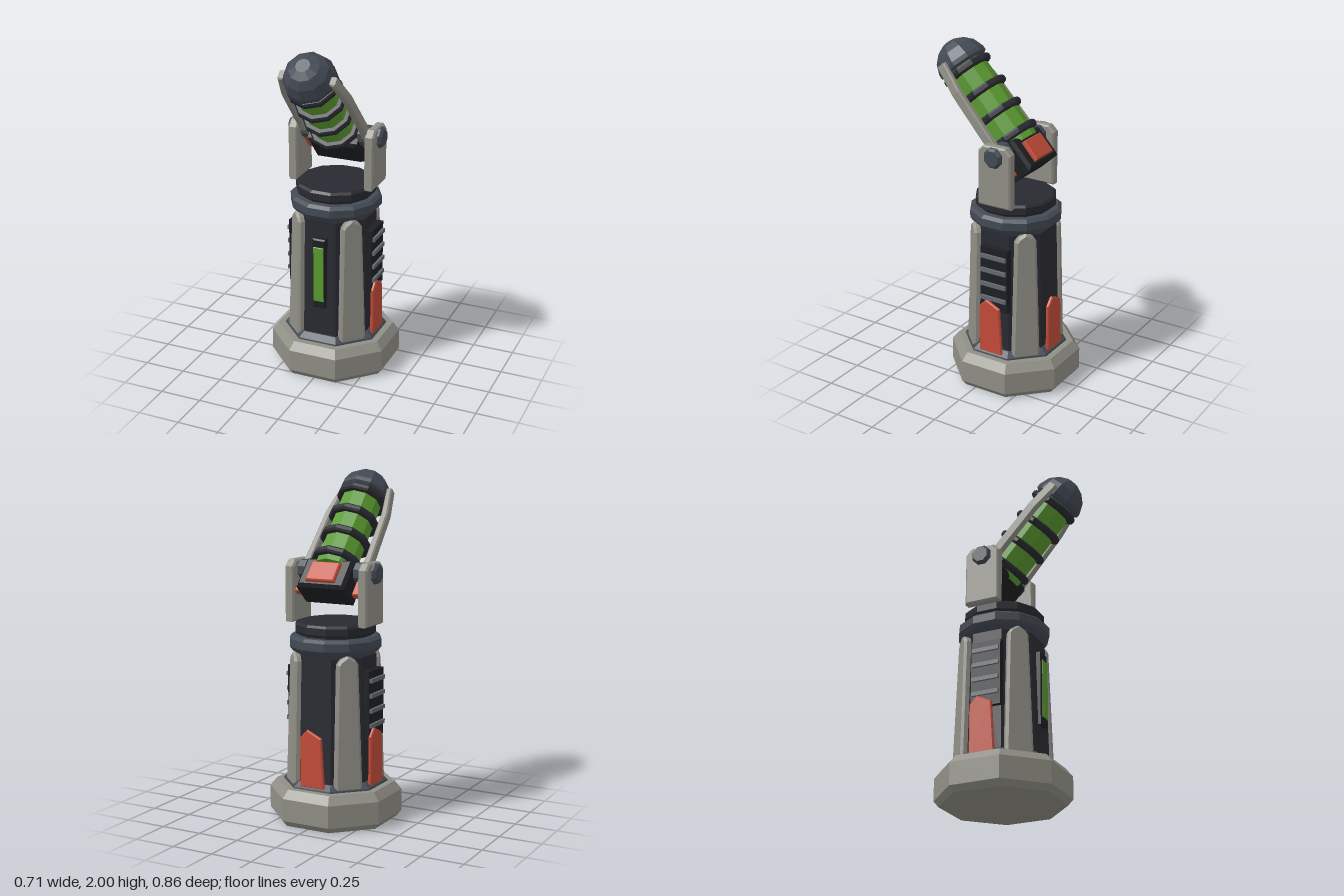
import * as THREE from 'three';

const mat = (color) => new THREE.MeshStandardMaterial({ color, flatShading: true });
const CZ = -0.073; // column axis in z

export function createModel() {
  const root = new THREE.Group();
  const stone = mat(0x908f86), dark = mat(0x292a31), steel = mat(0x434a54);
  const black = mat(0x1d1f23), slate = mat(0x646a72), green = mat(0x5a9a30), red = mat(0xc44c39);

  const add = (parent, name, geometry, material, x = 0, y = 0, z = 0) => {
    const mesh = new THREE.Mesh(geometry, material);
    mesh.name = name;
    mesh.position.set(x, y, z);
    parent.add(mesh);
    return mesh;
  };

  // Faceted solid of revolution; flat = a face (not an edge) points forward
  const turned = (sides, profile, flat = true) => {
    const k = flat ? 1 / Math.cos(Math.PI / sides) : 1;
    const pts = profile.map(([r, y]) => new THREE.Vector2(r * k, y));
    return new THREE.LatheGeometry(pts, sides, flat ? Math.PI / sides : 0);
  };

  // Chamfered plate whose outer face lies on z = 0
  const slab = (pts, depth, b) => {
    const shape = new THREE.Shape(pts.map(([x, y]) => new THREE.Vector2(x, y)));
    const g = new THREE.ExtrudeGeometry(shape, {
      depth: depth - 2 * b, bevelThickness: b, bevelSize: b, bevelOffset: -b, bevelSegments: 1,
    });
    return g.translate(0, 0, b - depth);
  };
  const rect = (x0, x1, y0, y1) => [[x0, y0], [x1, y0], [x1, y1], [x0, y1]];

  const pedestal = new THREE.Group();
  pedestal.name = 'pedestal';
  pedestal.position.z = CZ;
  root.add(pedestal);

  // Octagonal foot, skirt and column
  add(pedestal, 'foot', turned(8, [[0, 0], [0.33, 0], [0.357, 0.035], [0.357, 0.165],
    [0.32, 0.213], [0.28, 0.213], [0, 0.213]]), stone);
  add(pedestal, 'skirt', turned(8, [[0.283, 0.21], [0.28, 0.222], [0.245, 0.25], [0.2, 0.25]]), steel);
  add(pedestal, 'column', turned(8, [[0.238, 0.21], [0.218, 0.97], [0, 0.97]]), dark);

  // Neck collar and turntable
  add(pedestal, 'collar', turned(12, [[0.2, 0.95], [0.215, 0.97], [0.245, 0.995], [0.26, 1.015],
    [0.26, 1.06], [0.24, 1.077], [0.2, 1.077]]), steel);
  add(pedestal, 'neck', turned(12, [[0.205, 1.06], [0.205, 1.1]]), dark);
  add(pedestal, 'turntable', turned(12, [[0.2, 1.088], [0.22, 1.088], [0.228, 1.1], [0.228, 1.14],
    [0.215, 1.153], [0, 1.153]]), dark);

  // A turned frame for each side of the column: +z points outward
  const face = (angle, name) => {
    const g = new THREE.Group();
    g.name = name;
    g.rotation.y = angle;
    pedestal.add(g);
    return g;
  };

  // Corner buttresses
  for (let i = 0; i < 4; i++) {
    const f = face(Math.PI / 4 + i * Math.PI / 2, 'buttressSide');
    const fin = add(f, 'buttress', slab([[-0.082, 0], [0.082, 0], [0.062, 0.73], [0.045, 0.755],
      [0, 0.785], [-0.045, 0.755], [-0.062, 0.73]], 0.07, 0.014), stone, 0, 0.21, 0.276);
    fin.rotation.x = -0.026;
  }

  // Front light
  const front = face(0, 'frontSide');
  add(front, 'lightFrame', slab(rect(-0.04, 0.04, 0.43, 0.87), 0.05, 0.008), black, 0, 0, 0.256);
  add(front, 'lightStrip', slab(rect(-0.032, 0.032, 0.475, 0.82), 0.02, 0.003), green, 0, 0, 0.262);

  // Red guard plates on back and sides, vents on the sides
  for (const [angle, vented] of [[Math.PI / 2, true], [Math.PI, false], [-Math.PI / 2, true]]) {
    const f = face(angle, 'guardSide');
    add(f, 'guardPlate', slab([[-0.08, 0.225], [0.073, 0.225], [0.055, 0.52], [-0.035, 0.563],
      [-0.08, 0.515]], 0.022, 0.006), red, 0, 0, 0.275);
    if (!vented) continue;
    add(f, 'ventPanel', new THREE.BoxGeometry(0.18, 0.39, 0.04), black, 0.012, 0.695, 0.238);
    for (let i = 0; i < 4; i++) {
      add(f, 'ventSlat', new THREE.BoxGeometry(0.165, 0.024, 0.03), slate, 0.012, 0.575 + i * 0.087, 0.257);
    }
  }

  // Yoke posts with pivot bolts
  const pivotY = 1.44, pivotZ = -0.09;
  for (const s of [1, -1]) {
    const yoke = new THREE.Group();
    yoke.name = s > 0 ? 'leftYoke' : 'rightYoke';
    yoke.position.set(0, 0, pivotZ);
    yoke.rotation.y = s * Math.PI / 2;
    root.add(yoke);
    add(yoke, 'post', slab([[-0.106, 1.145], [0.106, 1.145], [0.106, 1.465], [0.07, 1.502],
      [-0.07, 1.502], [-0.106, 1.465]], 0.058, 0.01), stone, 0, 0, 0.264);
    const bolt = add(yoke, 'pivotBolt', turned(8, [[0.056, 0.14], [0.056, 0.275], [0.044, 0.29], [0, 0.29]]),
      steel, 0, pivotY, 0);
    bolt.rotation.x = Math.PI / 2;
  }

  // Tilted head: local +y runs along the barrel, local -z is its upper side
  const head = new THREE.Group();
  head.name = 'head';
  head.position.set(0, pivotY, pivotZ);
  head.rotation.x = THREE.MathUtils.degToRad(42);
  root.add(head);

  add(head, 'barrel', new THREE.CylinderGeometry(0.12, 0.12, 0.56, 10), green, 0, 0.28, 0);
  for (let i = 0; i < 4; i++) {
    add(head, 'barrelRing', turned(10, [[0.11, -0.021], [0.143, -0.021], [0.152, -0.01], [0.152, 0.01],
      [0.143, 0.021], [0.11, 0.021]], false), dark, 0, 0.055 + i * 0.152, 0);
  }
  add(head, 'domeCap', turned(10, [[0, 0.538], [0.135, 0.538], [0.15, 0.55], [0.15, 0.575], [0.127, 0.636],
    [0.088, 0.676], [0.042, 0.698], [0, 0.698]], false), steel);

  // Rear housing with red plates
  add(head, 'housing', slab(rect(-0.152, 0.152, -0.168, 0.03), 0.185, 0.018), black, 0, 0, 0.1);
  add(head, 'topPlate', slab(rect(-0.09, 0.09, -0.14, -0.012), 0.03, 0.007), red, 0, 0, -0.08);
  for (const s of [1, -1]) {
    add(head, 'sidePlate', slab(rect(-0.025, 0.025, -0.145, -0.015), 0.045, 0.006), red, s * 0.185, 0, 0.052);

    // Side arms bending in to the dome
    const arm = [[0.168, -0.02], [0.213, -0.02], [0.213, 0.1], [0.203, 0.42], [0.168, 0.6],
      [0.135, 0.6], [0.163, 0.41], [0.17, 0.1]];
    const pts = arm.map(([x, y]) => [s * x, y]);
    add(head, s > 0 ? 'leftArm' : 'rightArm', slab(pts, 0.06, 0.008), stone, 0, 0, 0.045);
  }

  return root;
}
